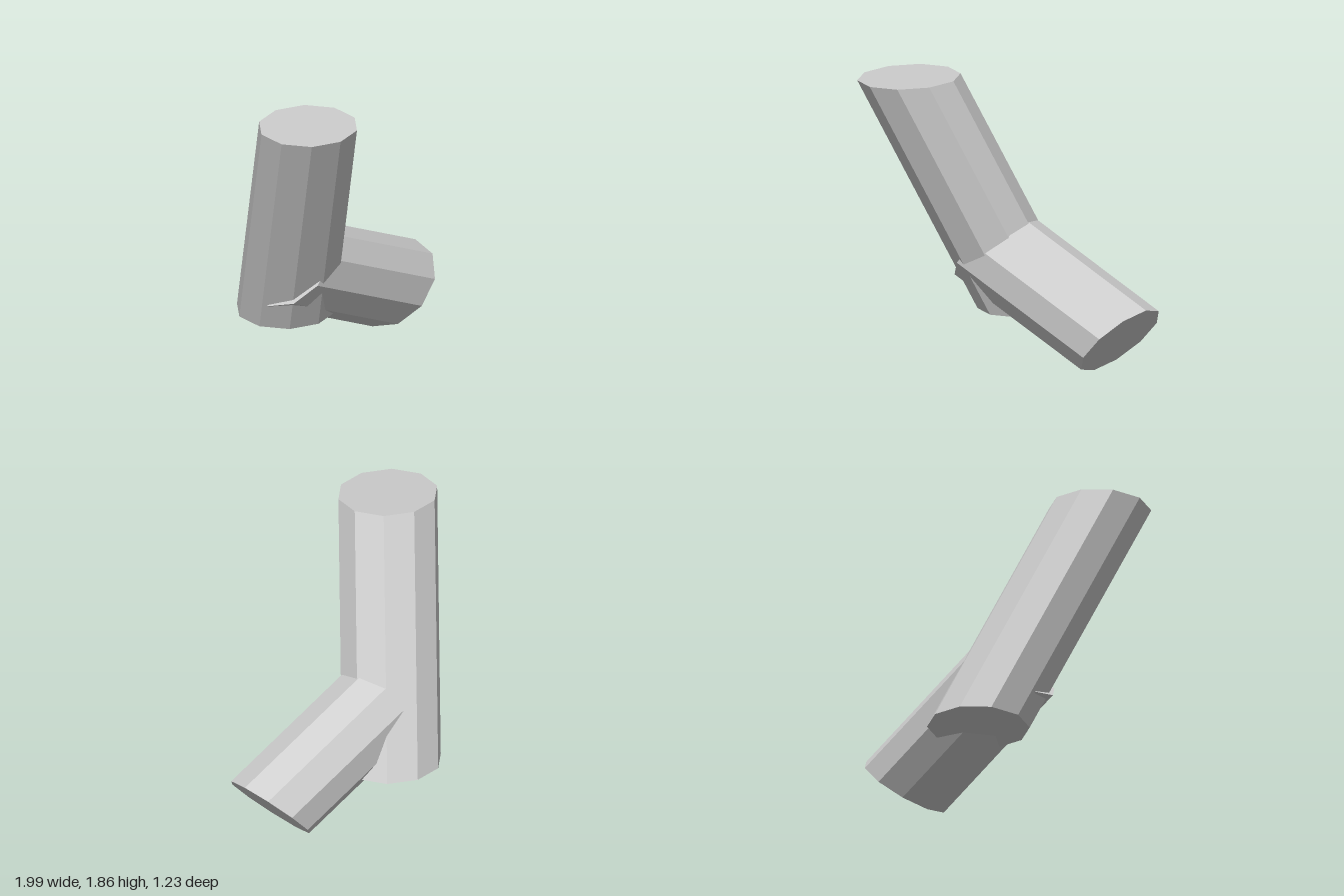
import * as THREE from 'three';

// Ten-sided prism slanted along `axis`, its end faces spanned by the half-vectors u and v
function slantedPrism(name, centre, axis, u, v) {
  const matrix = new THREE.Matrix4()
    .makeBasis(new THREE.Vector3(...v), new THREE.Vector3(...axis), new THREE.Vector3(...u))
    .setPosition(...centre);
  const geometry = new THREE.CylinderGeometry(1, 1, 1, 10, 1).applyMatrix4(matrix);
  const mesh = new THREE.Mesh(
    geometry,
    new THREE.MeshStandardMaterial({ color: 0xcccccc, flatShading: true })
  );
  mesh.name = name;
  return mesh;
}

export function createModel() {
  const group = new THREE.Group();
  group.name = 'branchingLog';

  // Tall leaning log with nearly level ends
  group.add(slantedPrism('tallLog',
    [-0.398, 1.072, -0.004], [-0.515, 1.55, 0.595],
    [0.148, -0.007, 0.287], [0.306, 0.019, -0.146]));

  // Short side log with diagonally cut ends
  group.add(slantedPrism('sideLog',
    [0.235, 0.469, -0.138], [1.08, -0.457, 0],
    [0.222, 0.236, 0], [0, 0, 0.3]));

  return group;
}
